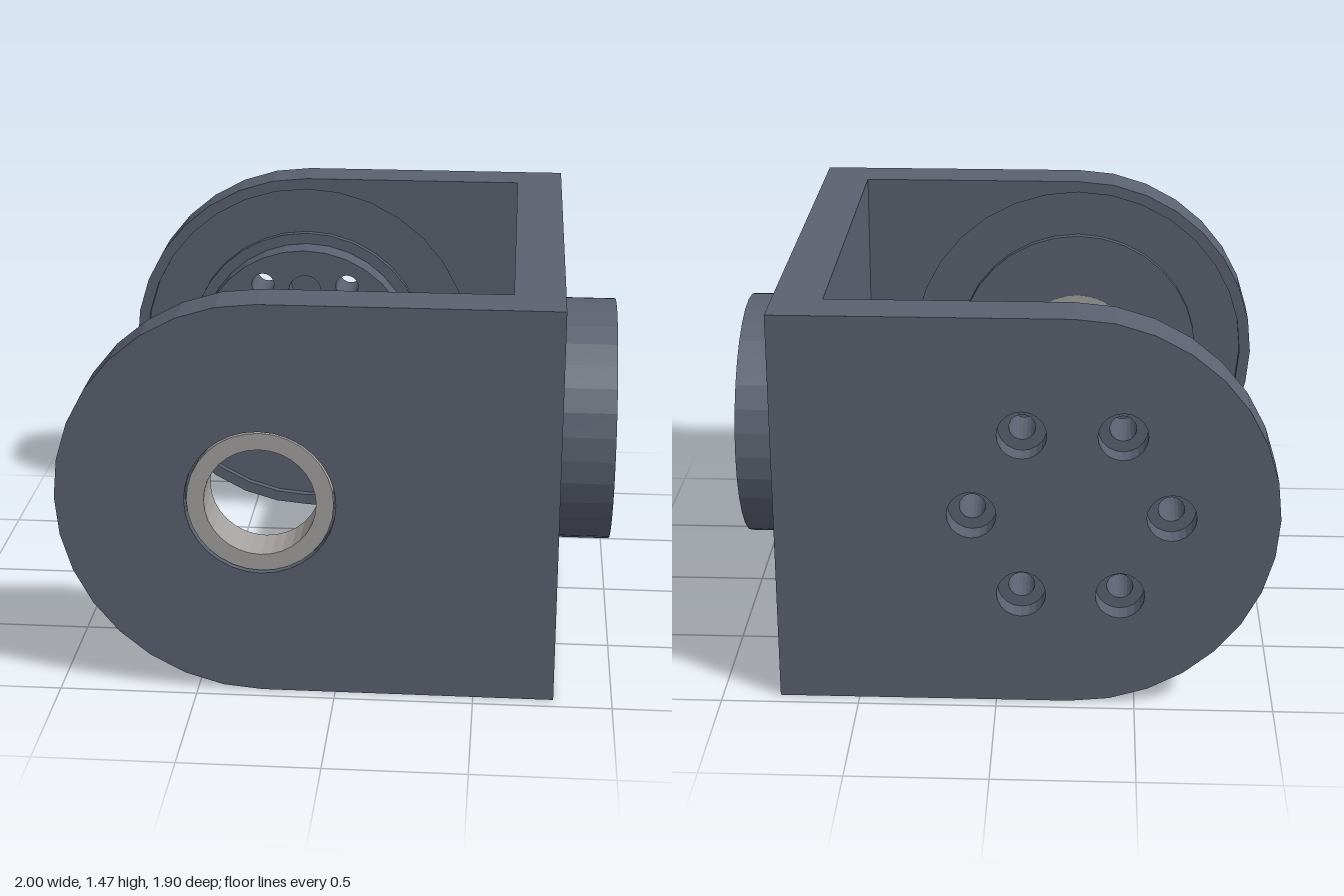
import * as THREE from 'three';

const CY = 0.735;      // height of every bore axis
const AX = -0.265;     // x of the arm pivot axis
const R = 0.735;       // radius of the rounded arm end
const SCREW_R = 0.047, PIN_R = 0.068;

const bodyMat = new THREE.MeshStandardMaterial({ color: 0x5b6170 });
bodyMat.name = 'slate grey metal';
const bushMat = new THREE.MeshStandardMaterial({ color: 0xa5a2a0 });
bushMat.name = 'bushing grey';

// points of an arc as a polygon line
function arc(cx, cy, r, n, from = 0, to = Math.PI * 2, closed = false) {
  const pts = [];
  for (let i = 0; i < (closed ? n + 1 : n); i++) {
    const a = from + (to - from) * i / n;
    pts.push(new THREE.Vector2(cx + r * Math.cos(a), cy + r * Math.sin(a)));
  }
  return pts;
}

const hole = (x, r, n = 32) => new THREE.Path(arc(x, CY, r, n));

// ring of small holes about an axis
function ringOfHoles(cx, count, ringR, r, start = 0) {
  return arc(cx, CY, ringR, count, start, start + Math.PI * 2)
    .map(p => new THREE.Path(arc(p.x, p.y, r, 20)));
}
const screws = (cx, r = SCREW_R) => ringOfHoles(cx, 6, 0.353, r);
const pins = cx => ringOfHoles(cx, 3, 0.28, PIN_R, Math.PI / 2);

function shape(points, holes) {
  const s = new THREE.Shape(points);
  s.holes.push(...holes);
  return s;
}
const disc = (cx, r, holes) => shape(arc(cx, CY, r, 32), holes);

// arm outline: square at the wall, half round at the free end
const arm = holes => shape([
  new THREE.Vector2(0.79, 0), new THREE.Vector2(0.79, 2 * R),
  ...arc(AX, CY, R, 16, Math.PI / 2, Math.PI * 1.5, true),
], holes);

// flat layer between two depths, along z or turned to run along x
function layer(parent, name, s, from, to, mat = bodyMat, alongX = false) {
  const g = new THREE.ExtrudeGeometry(s, { depth: to - from, bevelEnabled: false });
  g.translate(0, 0, from);
  if (alongX) g.rotateY(Math.PI / 2);
  const m = new THREE.Mesh(g, mat);
  m.name = name;
  parent.add(m);
}

function group(parent, name) {
  const g = new THREE.Group();
  g.name = name;
  parent.add(g);
  return g;
}

export function createModel() {
  const model = new THREE.Group();
  model.name = 'pivotBracket';

  // front arm with bore and annular groove on its inner face
  const front = group(model, 'frontArm');
  layer(front, 'innerRim', arm([hole(AX, 0.69)]), 0.77, 0.8);
  layer(front, 'innerBoss', disc(AX, 0.5, [hole(AX, 0.24)]), 0.77, 0.8);
  layer(front, 'armCore', arm([hole(AX, 0.24)]), 0.8, 0.91);
  layer(front, 'armFace', arm([hole(AX, 0.27)]), 0.91, 0.95);

  // flanged bushing in the front bore
  const bushing = group(model, 'bushing');
  layer(bushing, 'sleeve', disc(AX, 0.239, [hole(AX, 0.2)]), 0.772, 0.91, bushMat);
  layer(bushing, 'flange', disc(AX, 0.262, [hole(AX, 0.2)]), 0.91, 0.943, bushMat);

  // back arm with counterbored screw holes and the same groove
  const back = group(model, 'backArm');
  layer(back, 'armFace', arm(screws(AX, 0.088)), -0.95, -0.87);
  layer(back, 'armCore', arm(screws(AX)), -0.87, -0.8);
  layer(back, 'innerRim', arm([hole(AX, 0.69)]), -0.8, -0.77);
  layer(back, 'innerBoss', disc(AX, 0.5, screws(AX)), -0.8, -0.77);
  layer(back, 'innerHub', disc(AX, 0.455, [...screws(AX), ...pins(AX)]), -0.77, -0.66);

  // connecting wall with the outer hub
  const wall = shape([
    new THREE.Vector2(-0.77, 0), new THREE.Vector2(0.77, 0),
    new THREE.Vector2(0.77, 2 * R), new THREE.Vector2(-0.77, 2 * R),
  ], screws(0));
  layer(model, 'connectingWall', wall, 0.61, 0.79, bodyMat, true);
  layer(model, 'outerHub', disc(0, 0.468, [...screws(0), ...pins(0)]), 0.79, 1, bodyMat, true);

  return model;
}
